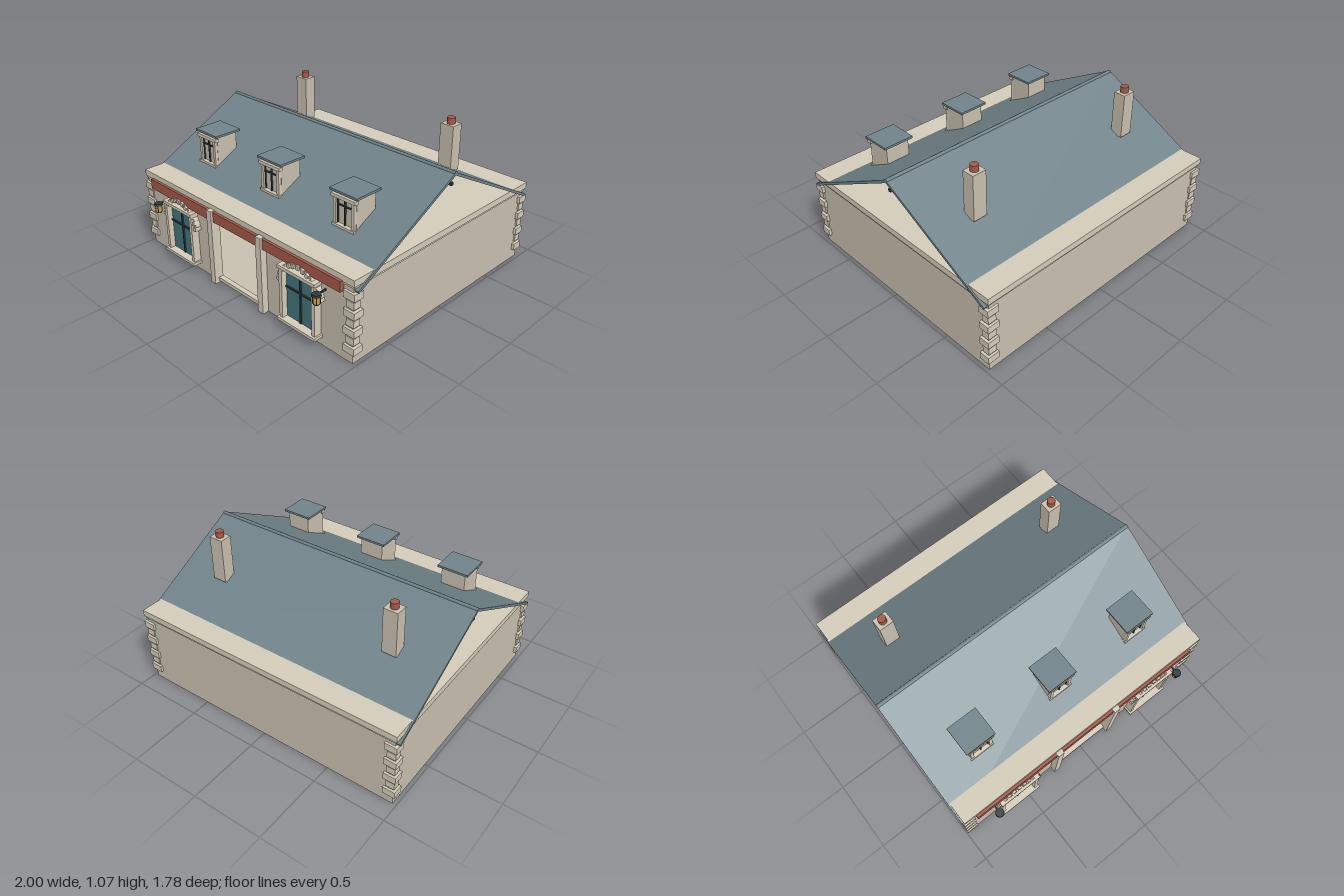
import * as THREE from 'three';

const mat = (color, extra = {}) => new THREE.MeshStandardMaterial({ color, ...extra });
const M = {
  wall: mat(0xc8bfae), trim: mat(0xd4ccb9), roof: mat(0x708389), dark: mat(0x2b3a3e),
  red: mat(0xa5594a), glass: mat(0x45757b), wood: mat(0x6b4429), darkWood: mat(0x4a2e1e),
  lamp: mat(0xd9a850), bread: mat(0xa85a45),
};

export function createModel() {
  const root = new THREE.Group();
  root.name = 'shopHouse';

  const add = (parent, name, geo, m, x = 0, y = 0, z = 0) => {
    const mesh = new THREE.Mesh(geo, m);
    mesh.name = name;
    mesh.position.set(x, y, z);
    parent.add(mesh);
    return mesh;
  };
  // Box given by its extents on each axis
  const box = (parent, name, m, x0, x1, y0, y1, z0, z1) =>
    add(parent, name, new THREE.BoxGeometry(x1 - x0, y1 - y0, z1 - z0), m,
      (x0 + x1) / 2, (y0 + y1) / 2, (z0 + z1) / 2);
  const group = (name, x = 0, y = 0, z = 0) => {
    const g = new THREE.Group();
    g.name = name;
    g.position.set(x, y, z);
    root.add(g);
    return g;
  };

  // Hollow shell: floor, side and back walls, front wall with the shop opening
  box(root, 'floor', M.wall, -0.975, 0.975, 0, 0.015, -0.87, 0.785);
  box(root, 'backWall', M.wall, -0.975, 0.975, 0, 0.525, -0.87, -0.85);
  for (const s of [-1, 1]) {
    box(root, 'sideWall', M.wall, s * 0.965 - 0.01, s * 0.965 + 0.01, 0, 0.525, -0.86, 0.775);
    box(root, 'frontWall', M.wall, s * 0.595 - 0.38, s * 0.595 + 0.38, 0, 0.525, 0.765, 0.785);
    box(root, 'pilaster', M.trim, s * 0.237 - 0.023, s * 0.237 + 0.023, 0, 0.535, 0.765, 0.83);
  }
  box(root, 'doorLintel', M.wall, -0.22, 0.22, 0.46, 0.525, 0.765, 0.785);
  box(root, 'threshold', M.trim, -0.215, 0.215, 0.015, 0.04, 0.765, 0.8);
  box(root, 'signBand', M.red, -0.9, 0.9, 0.457, 0.528, 0.78, 0.815);
  box(root, 'cornice', M.trim, -0.99, 0.99, 0.522, 0.565, -0.885, 0.797);
  box(root, 'corniceMoulding', M.trim, -0.982, 0.982, 0.505, 0.525, -0.877, 0.79);

  // Corner quoins, alternating wide and narrow
  for (const sx of [-1, 1]) for (const sz of [-1, 1]) for (let i = 0; i < 7; i++) {
    const wide = i % 2 === 0;
    const outX = wide ? 0.995 : 0.985, inX = wide ? 0.91 : 0.925;
    const outZ = wide ? 0.843 : 0.835, inZ = wide ? 0.77 : 0.785;
    const y = 0.07 + i * 0.06;
    add(root, 'quoin', new THREE.BoxGeometry(outX - inX, 0.047, outZ - inZ), M.trim,
      sx * (outX + inX) / 2, y + 0.023, -0.0425 + sz * (outZ + inZ) / 2);
  }

  // Pitched roof with open gables
  const pitch = Math.atan2(0.425, 0.81), slope = Math.hypot(0.425, 0.81);
  for (const s of [-1, 1]) {
    const panel = add(root, 'roofPanel', new THREE.BoxGeometry(2, 0.018, slope + 0.015), M.roof,
      0, 0.7, -0.042 + s * 0.405);
    panel.rotation.x = s * pitch;
  }
  const cap = add(root, 'ridgeCap', new THREE.CylinderGeometry(0.014, 0.014, 2, 8), M.roof, 0, 0.914, -0.042);
  cap.rotation.z = Math.PI / 2;
  box(root, 'ridgeBeam', M.dark, -0.98, 0.98, 0.83, 0.85, -0.052, -0.032);

  // Dormers
  for (const x of [-0.635, 0, 0.635]) {
    const d = group('dormer', x);
    box(d, 'dormerBody', M.wall, -0.085, 0.085, 0.6, 0.846, 0.335, 0.495);
    box(d, 'dormerRoof', M.roof, -0.109, 0.109, 0.846, 0.861, 0.315, 0.52);
    for (const s of [-1, 1])
      box(d, 'dormerJamb', M.trim, s * 0.072 - 0.011, s * 0.072 + 0.011, 0.63, 0.82, 0.49, 0.515);
    box(d, 'dormerHead', M.trim, -0.097, 0.097, 0.812, 0.834, 0.49, 0.522);
    box(d, 'dormerSill', M.trim, -0.089, 0.089, 0.622, 0.643, 0.49, 0.522);
    box(d, 'dormerMullion', M.dark, -0.004, 0.004, 0.643, 0.812, 0.493, 0.505);
    box(d, 'dormerTransom', M.dark, -0.061, 0.061, 0.762, 0.77, 0.493, 0.505);
    for (const s of [-1, 1])
      box(d, 'dormerSash', M.dark, s * 0.058 - 0.003, s * 0.058 + 0.003, 0.643, 0.812, 0.493, 0.503);
  }

  // Chimneys
  for (const s of [-1, 1]) {
    const c = group('chimney', s * 0.665, 0, -0.432);
    box(c, 'chimneyStack', M.wall, -0.05, 0.05, 0.71, 1.025, -0.043, 0.043);
    add(c, 'chimneyPot', new THREE.CylinderGeometry(0.027, 0.027, 0.042, 20), M.red, 0, 1.045, 0);
  }

  // Arched stone ring, shared by both shop windows
  const arch = new THREE.Shape();
  arch.absarc(0, 0, 0.178, 0.1, Math.PI - 0.1, false);
  arch.absarc(0, 0, 0.16, Math.PI - 0.1, 0.1, true);
  const archGeo = new THREE.ExtrudeGeometry(arch, { depth: 0.035, bevelEnabled: false, curveSegments: 20 });

  // Shop windows
  for (const s of [-1, 1]) {
    const w = group('shopWindow', s * 0.575);
    box(w, 'windowGlass', M.glass, -0.135, 0.135, 0.07, 0.425, 0.78, 0.8);
    box(w, 'windowMullion', M.dark, -0.005, 0.005, 0.08, 0.42, 0.795, 0.81);
    box(w, 'windowTransom', M.dark, -0.125, 0.125, 0.284, 0.294, 0.795, 0.81);
    for (const e of [-1, 1])
      box(w, 'windowJamb', M.trim, e * 0.136 - 0.013, e * 0.136 + 0.013, 0.07, 0.425, 0.775, 0.838);
    box(w, 'windowHead', M.trim, -0.155, 0.155, 0.418, 0.44, 0.775, 0.845);
    box(w, 'windowSill', M.trim, -0.16, 0.16, 0.057, 0.077, 0.775, 0.853);
    add(w, 'windowArch', archGeo, M.trim, 0, 0.305, 0.783);
    for (let i = 0; i <= 12; i++) {
      const a = 0.15 + (i / 12) * (Math.PI - 0.3);
      const v = add(w, 'voussoir', new THREE.BoxGeometry(0.028, 0.024, 0.044), M.trim,
        Math.cos(a) * 0.167, 0.305 + Math.sin(a) * 0.167, 0.807);
      v.rotation.z = a;
    }
  }

  // Wall lanterns
  for (const s of [-1, 1]) {
    const l = group('lantern', s * 0.765, 0, 0.86);
    box(l, 'lanternBracket', M.dark, -0.005, 0.005, 0.397, 0.407, -0.085, 0);
    add(l, 'lanternCap', new THREE.CylinderGeometry(0.027, 0.03, 0.014, 16), M.dark, 0, 0.402, 0);
    add(l, 'lanternGlass', new THREE.CylinderGeometry(0.023, 0.018, 0.052, 16), M.lamp, 0, 0.37, 0);
    add(l, 'lanternBase', new THREE.CylinderGeometry(0.019, 0.019, 0.006, 16), M.dark, 0, 0.343, 0);
    for (let i = 0; i < 4; i++) {
      const a = Math.PI / 4 + i * Math.PI / 2;
      add(l, 'lanternBar', new THREE.BoxGeometry(0.004, 0.054, 0.004), M.dark,
        Math.cos(a) * 0.021, 0.37, Math.sin(a) * 0.021);
    }
  }

  // Interior: table with loaves at the back
  const table = group('table', 0, 0, -0.455);
  box(table, 'tableTop', M.wood, -0.23, 0.23, 0.17, 0.184, -0.1, 0.1);
  for (const s of [-1, 1])
    box(table, 'tableLeg', M.dark, s * 0.162 - 0.007, s * 0.162 + 0.007, -0.001, 0.17, -0.075, 0.075);
  for (const x of [-0.115, 0, 0.115]) {
    const loaf = add(table, 'loaf', new THREE.CapsuleGeometry(0.013, 0.054, 6, 12), M.bread, x, 0.196, 0);
    loaf.rotation.z = Math.PI / 2;
  }

  // Interior: shelf units on both sides
  for (const s of [-1, 1]) {
    const u = group('shelfUnit', s * 0.565, 0, 0.03);
    box(u, 'shelfCarcass', M.darkWood, -0.125, 0.125, -0.001, 0.36, -0.235, 0.235);
    for (let i = 0; i < 4; i++) {
      const y = 0.06 + i * 0.09;
      box(u, 'shelfBoard', M.trim, -0.14, 0.14, y, y + 0.025, -0.235, 0.235);
      box(u, 'shelfFront', M.wood, -0.132, 0.132, y + 0.025, y + 0.06, -0.23, 0.23);
    }
  }
  return root;
}
